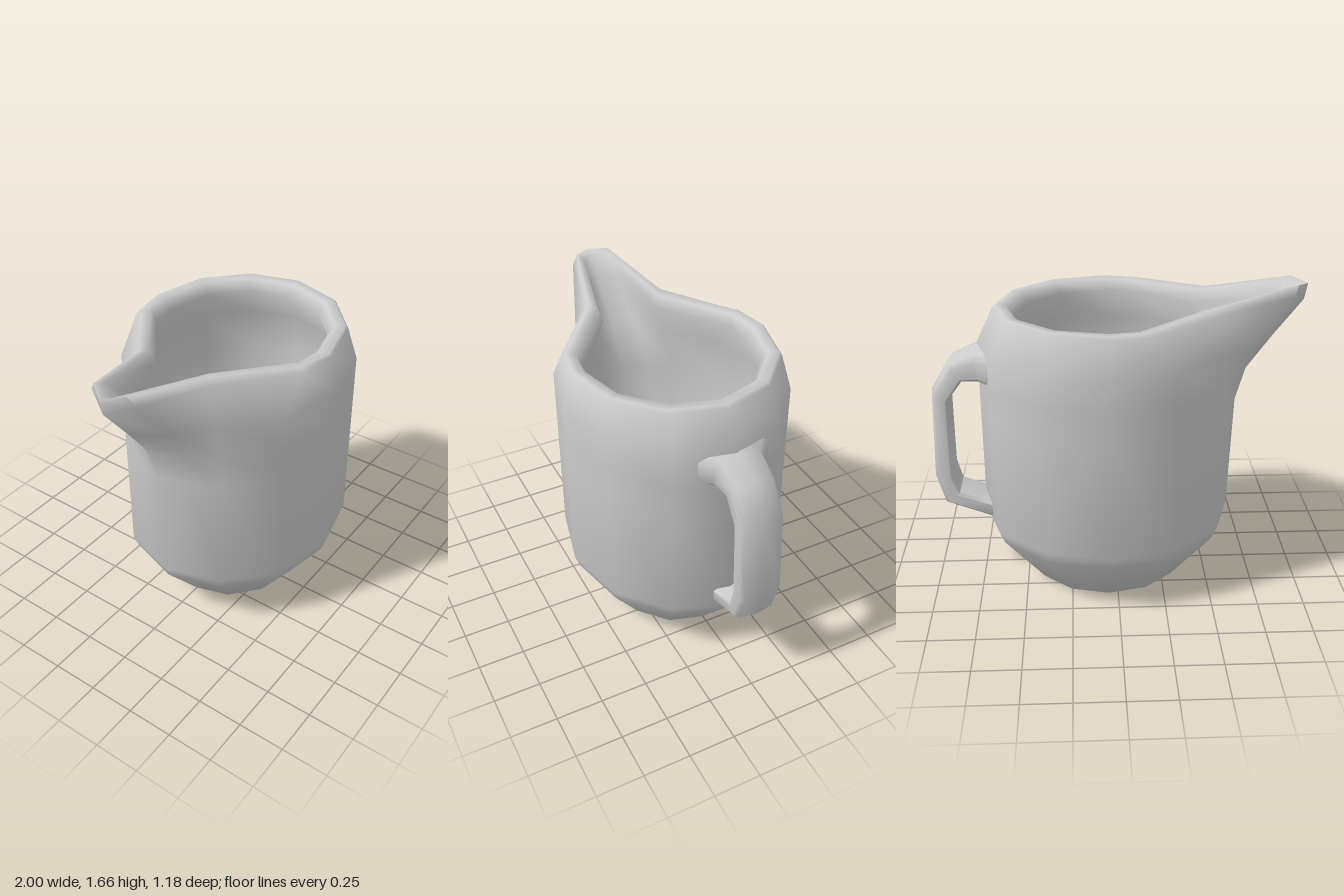
import * as THREE from 'three';
import { toCreasedNormals } from 'three/addons/utils/BufferGeometryUtils.js';

// Skins closed rings of [x, y, z] points that follow one another
function loft(rings, crease) {
  const n = rings[0].length, index = [];
  for (let i = 0; i < rings.length - 1; i++) {
    for (let k = 0; k < n; k++) {
      const a = i * n + k, b = i * n + (k + 1) % n;
      index.push(a, a + n, b + n, a, b + n, b);
    }
  }
  const g = new THREE.BufferGeometry();
  g.setAttribute('position', new THREE.Float32BufferAttribute(rings.flat(2), 3));
  g.setIndex(index);
  return toCreasedNormals(g, crease);
}

// Half ring (z >= 0) of the oval body, from the handle side to the spout side
const CX = 0.05;
function oval(rx, rz, y) {
  const half = [0, 30, 60, 90, 120, 150].map(d => {
    const a = THREE.MathUtils.degToRad(d);
    return [CX + rx * Math.cos(a), y, rz * Math.sin(a)];
  });
  const p = half[5];
  half.push([(p[0] + CX - rx) / 2, y, p[2] / 2], [CX - rx, y, 0]);
  return half;
}

// Replaces the last points of a half ring to pull out the spout
const pour = (half, ...pts) => [...half.slice(0, 8 - pts.length), ...pts];

// Completes a half ring by mirroring it in z
const mirror = half => [...half, ...half.slice(1, 7).reverse().map(([x, y, z]) => [x, y, -z])];

export function createModel() {
  const group = new THREE.Group();
  const material = new THREE.MeshStandardMaterial({ color: 0xcccccc, side: THREE.DoubleSide });
  const add = (name, geometry) => {
    const mesh = new THREE.Mesh(geometry, material);
    mesh.name = name;
    group.add(mesh);
  };

  // Jug: base, outer wall, spout and rim, then down the inner wall to the floor
  const body = [
    oval(0, 0, 0),
    oval(0.41, 0.36, 0),
    oval(0.65, 0.565, 0.29),
    oval(0.68, 0.59, 0.36),
    pour(oval(0.68, 0.59, 1.0), [-0.60, 1.0, 0.15], [-0.65, 1.0, 0]),
    pour(oval(0.68, 0.59, 1.18), [-0.62, 1.18, 0.15], [-0.70, 1.18, 0]),
    pour(oval(0.68, 0.59, 1.35), [-0.54, 1.35, 0.28], [-0.71, 1.35, 0.15], [-0.83, 1.36, 0]),
    pour(oval(0.59, 0.545, 1.535), [-0.15, 1.535, 0.51], [-0.52, 1.55, 0.23],
      [-0.91, 1.61, 0.13], [-0.985, 1.56, 0]),
    pour(oval(0.575, 0.53, 1.55), [-0.13, 1.55, 0.49], [-0.49, 1.575, 0.21],
      [-0.93, 1.66, 0.095], [-1.0, 1.645, 0]),
    pour(oval(0.52, 0.475, 1.545), [-0.10, 1.545, 0.45], [-0.45, 1.565, 0.18],
      [-0.88, 1.645, 0.075], [-0.96, 1.63, 0]),
    pour(oval(0.485, 0.44, 1.49), [-0.09, 1.49, 0.43], [-0.43, 1.50, 0.16],
      [-0.78, 1.54, 0.08], [-0.88, 1.53, 0]),
    pour(oval(0.58, 0.50, 1.32), [-0.45, 1.32, 0.22], [-0.61, 1.32, 0.11], [-0.70, 1.32, 0]),
    oval(0.59, 0.50, 1.1),
    oval(0.59, 0.50, 0.4),
    oval(0.35, 0.31, 0.08),
    oval(0, 0, 0.06),
  ].map(mirror);
  add('jug', loft(body, 1.7));

  // Handle: stations from bottom to top, [outer x, y, inner x, y, centre z, flare]
  const stations = [
    [0.64, 0.345, 0.64, 0.45, -0.035, 1],
    [0.71, 0.37, 0.71, 0.47, -0.035, 1],
    [0.945, 0.46, 0.86, 0.52, -0.032, 1],
    [0.995, 0.63, 0.89, 0.63, -0.03, 1],
    [0.98, 1.10, 0.89, 1.06, -0.017, 1],
    [0.88, 1.27, 0.81, 1.17, -0.015, 1],
    [0.74, 1.34, 0.72, 1.17, -0.015, 1.1],
    [0.64, 1.37, 0.64, 1.17, -0.015, 2],
  ];
  // Cross-section as [share from inner to outer side, z]
  const edge = [[0.88, 0.095], [0.7, 0.115], [0.12, 0.115], [0, 0.095]];
  const section = [[1, 0], ...edge, ...edge.map(([t, z]) => [t, -z]).reverse()];
  add('handle', loft(stations.map(([ox, oy, ix, iy, cz, f]) =>
    section.map(([t, z]) => [ix + (ox - ix) * t, iy + (oy - iy) * t, cz + z * f])), 0.9));

  return group;
}
